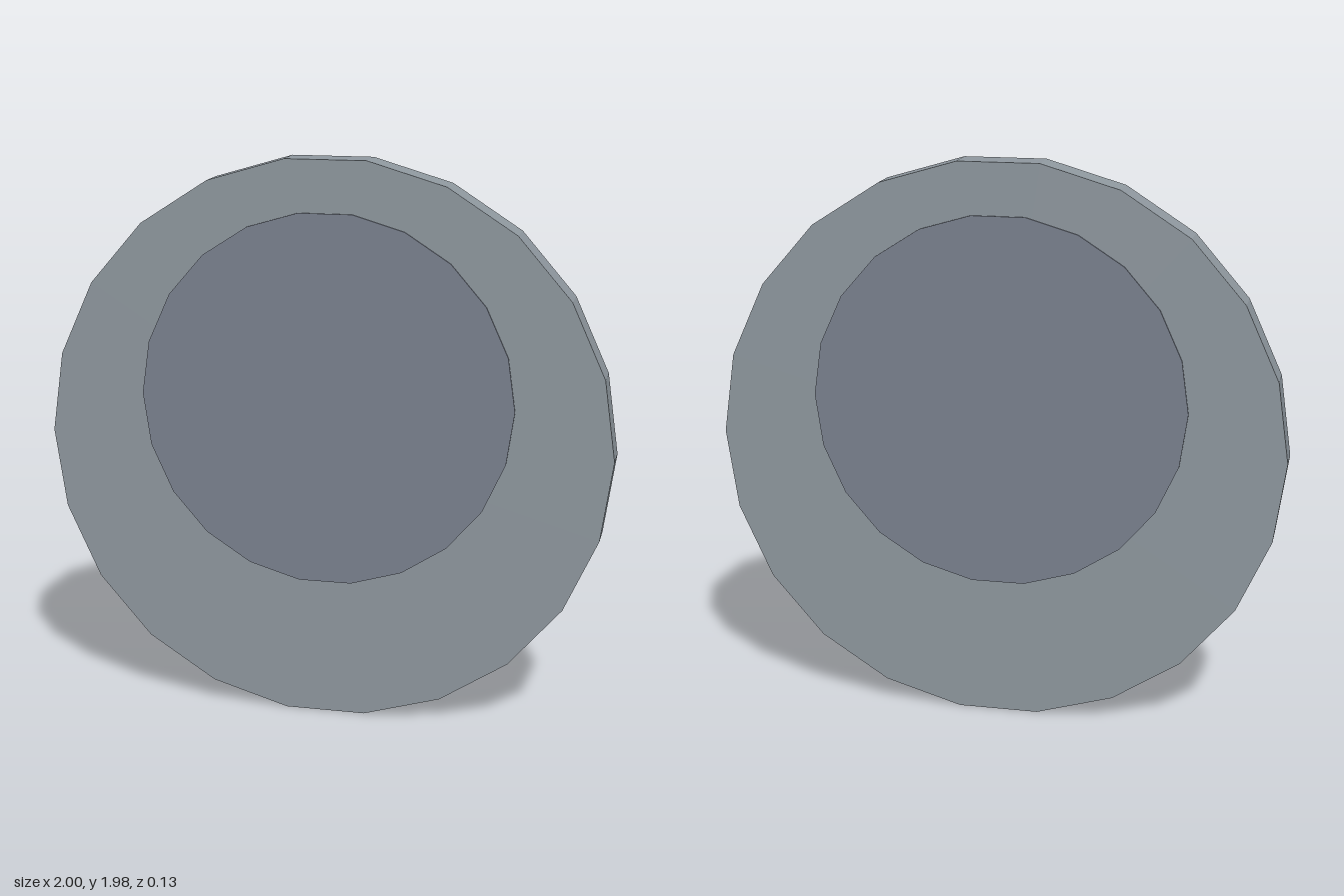
import * as THREE from 'three';

const SIDES = 22;

// Faceted disc facing +z, with a corner on each side and a flat top and bottom
function disc(name, radius, depth, y, color) {
  const geometry = new THREE.CylinderGeometry(radius, radius, depth, SIDES);
  geometry.rotateY(Math.PI / 2);
  geometry.rotateX(Math.PI / 2);
  const material = new THREE.MeshStandardMaterial({ color, flatShading: true });
  const mesh = new THREE.Mesh(geometry, material);
  mesh.name = name;
  mesh.position.y = y;
  return mesh;
}

export function createModel() {
  const model = new THREE.Group();
  model.name = 'discPlate';

  // Thick outer plate standing on its lowest flat side
  model.add(disc('outerPlate', 1, 0.12, Math.cos(Math.PI / SIDES), 0x9099a0));

  // Smaller inset, set high on the plate and slightly proud on both faces
  model.add(disc('innerInset', 0.66, 0.132, 1.145, 0x7b8290));

  return model;
}
